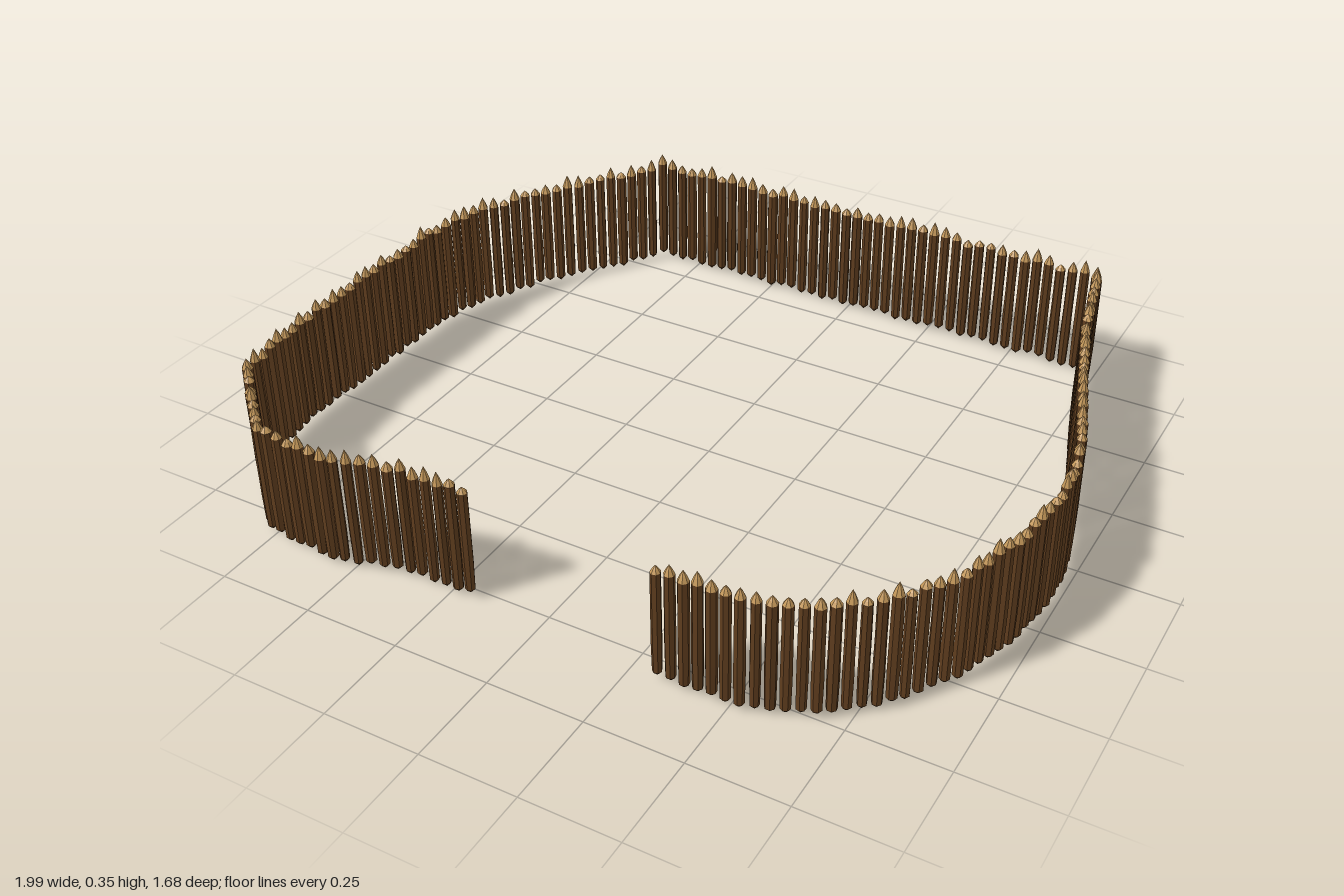
import * as THREE from 'three';
import { mergeGeometries } from 'three/addons/utils/BufferGeometryUtils.js';

const SPACING = 0.0335, RADIUS = 0.0143, SIDES = 7;

// Ground plan of each wall run as [x, z] corners
const RUNS = {
  leftWall: [[0.32, 0.805], [0.52, 0.8], [0.68, 0.74], [0.8, 0.635], [0.9, 0.49], [0.955, 0.33],
    [0.98, 0.15], [0.97, 0.02], [0.94, -0.1], [0.86, -0.33], [0.78, -0.58], [0.73, -0.8]],
  backWall: [[0.72, -0.83], [-0.62, -0.83]],
  rightWall: [[-0.64, -0.8], [-0.72, -0.67], [-0.83, -0.53], [-0.93, -0.34], [-0.97, -0.19], [-0.98, 0.06],
    [-0.985, 0.38], [-0.955, 0.62], [-0.86, 0.715], [-0.76, 0.81], [-0.66, 0.82], [-0.54, 0.825],
    [-0.46, 0.8], [-0.38, 0.78], [-0.2, 0.775]],
};

let seed = 7;
function rand(min, max) {
  seed = (seed * 16807) % 2147483647;
  return min + (max - min) * (seed / 2147483647);
}

// Faceted solid of revolution from [radius, y] pairs
function turned(profile) {
  return new THREE.LatheGeometry(profile.map(([r, y]) => new THREE.Vector2(r, y)), SIDES);
}

function wallRun(name, corners, bark, cutWood) {
  const path = new THREE.CurvePath();
  for (let i = 1; i < corners.length; i++) {
    path.add(new THREE.LineCurve(new THREE.Vector2(...corners[i - 1]), new THREE.Vector2(...corners[i])));
  }
  const count = Math.round(path.getLength() / SPACING);
  const logs = [], tips = [];
  for (const p of path.getSpacedPoints(count)) {
    const r = RADIUS * rand(0.92, 1.05);
    const foot = rand(0, 0.012), shoulder = rand(0.298, 0.312);
    const peak = shoulder + rand(0.014, 0.036);
    // Log: blunt pointed foot and slightly uneven trunk
    const log = turned([[0, foot], [r * 0.9, foot + 0.013], [r, 0.1], [r * rand(0.93, 1), 0.2], [r * 0.96, shoulder]]);
    // Sharpened tip with its point a little off centre
    const tip = turned([[r * 0.96, shoulder], [r * 0.55, (shoulder + peak) / 2], [0, peak]]);
    const turn = rand(0, Math.PI * 2);
    for (const g of [log, tip]) g.rotateY(turn).translate(p.x, 0, p.y);
    logs.push(log);
    tips.push(tip);
  }
  const run = new THREE.Group();
  run.name = name;
  const logMesh = new THREE.Mesh(mergeGeometries(logs), bark);
  logMesh.name = name + 'Logs';
  const tipMesh = new THREE.Mesh(mergeGeometries(tips), cutWood);
  tipMesh.name = name + 'Tips';
  run.add(logMesh, tipMesh);
  return run;
}

export function createModel() {
  const bark = new THREE.MeshStandardMaterial({ color: 0x5f3d1e, flatShading: true });
  const cutWood = new THREE.MeshStandardMaterial({ color: 0xc4985a, flatShading: true });
  const palisade = new THREE.Group();
  palisade.name = 'palisade';
  for (const [name, corners] of Object.entries(RUNS)) palisade.add(wallRun(name, corners, bark, cutWood));
  return palisade;
}
